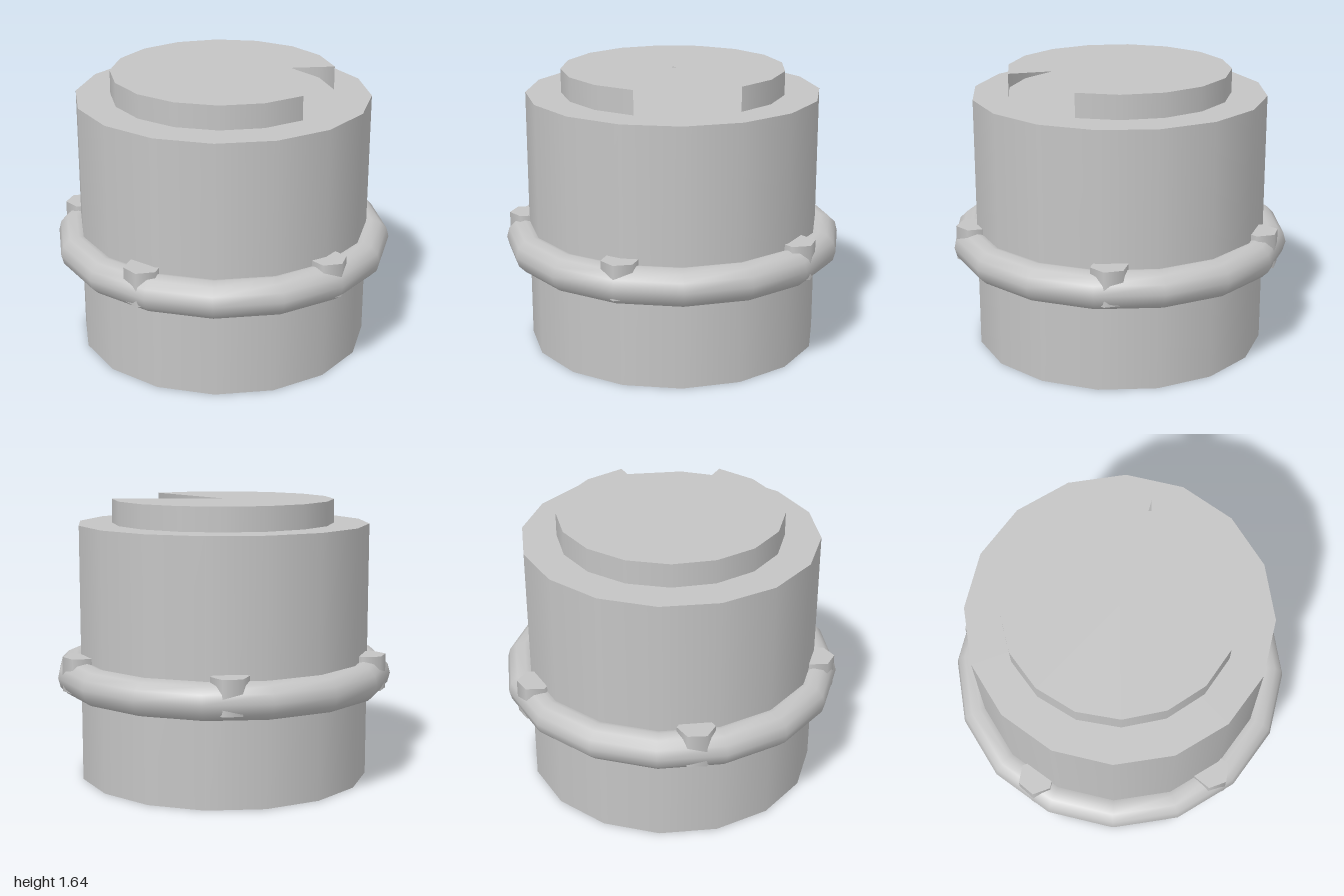
import * as THREE from 'three';

export function createModel() {
  const model = new THREE.Group();
  const grey = new THREE.MeshStandardMaterial({ color: 0xc4c4c4, side: THREE.DoubleSide });
  grey.name = 'plain grey';

  const add = (name, geometry, x, y, z) => {
    const mesh = new THREE.Mesh(geometry, grey);
    mesh.name = name;
    mesh.position.set(x, y, z);
    model.add(mesh);
    return mesh;
  };

  // Main drum, sixteen sides
  add('body', new THREE.CylinderGeometry(0.862, 0.862, 1.505, 16), 0, 0.7525, 0);

  // Raised disc with an open wedge missing, sunk slightly into the drum
  const sweep = Math.PI * 1.7;
  add('topDisc',
    new THREE.CylinderGeometry(0.654, 0.654, 0.16, 14, 1, false, Math.PI / 2 - sweep, sweep),
    0, 1.565, 0);

  // Ring around the middle
  add('ring', new THREE.TorusGeometry(0.892, 0.108, 12, 16), 0, 0.619, 0)
    .rotation.x = Math.PI / 2;

  // Five hexagonal studs through the ring, all facing the same way
  const studGeometry = new THREE.CylinderGeometry(0.108, 0.108, 0.203, 6, 1, false, Math.PI / 2);
  for (let i = 0; i < 5; i++) {
    const a = (i / 5) * Math.PI * 2;
    add('stud' + (i + 1), studGeometry, 0.877 * Math.cos(a), 0.6535, 0.877 * Math.sin(a));
  }

  return model;
}
